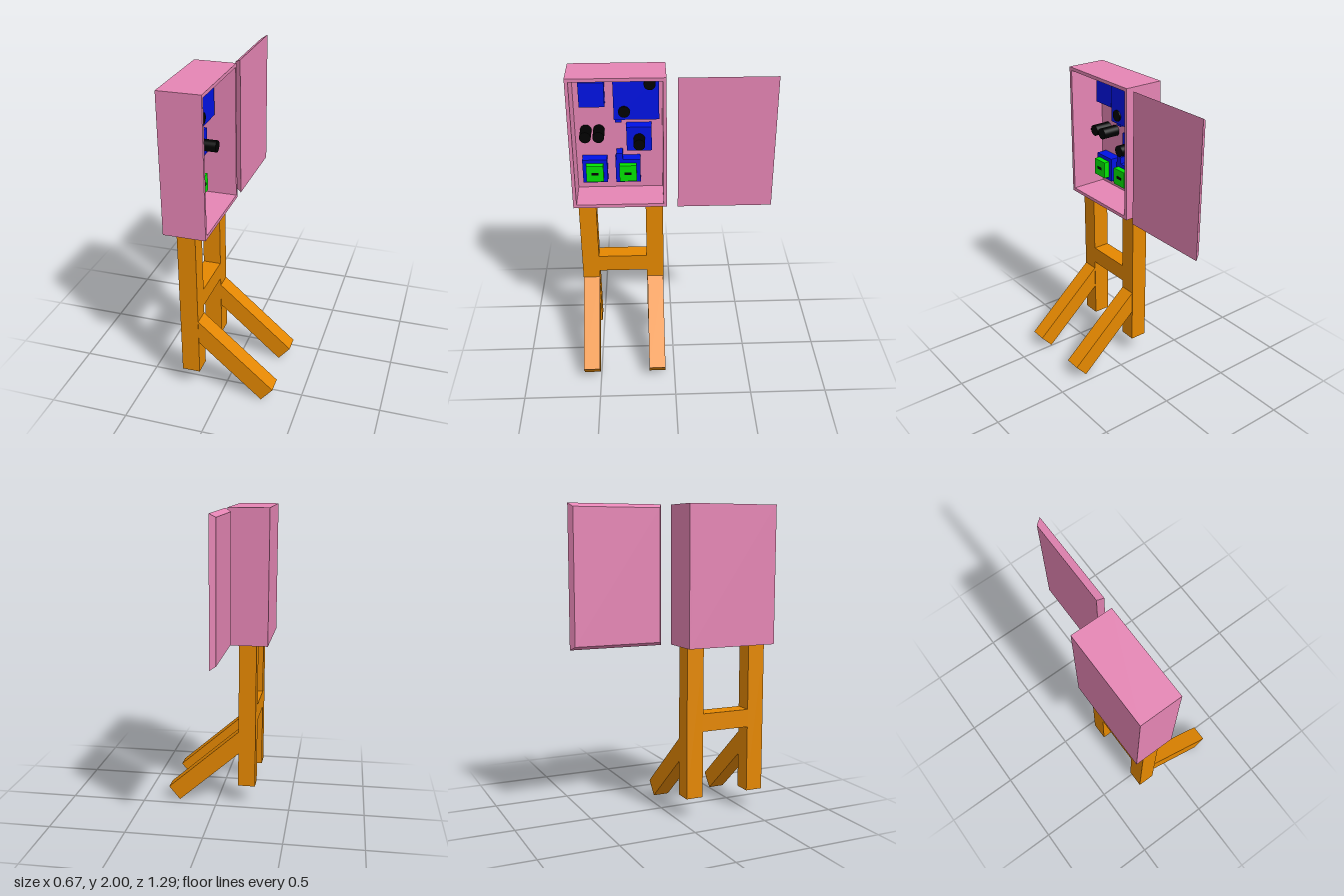
import * as THREE from 'three';

const mat = (color) => new THREE.MeshStandardMaterial({ color, flatShading: true });
const pink = mat(0xe585b4), wood = mat(0xe58800), blue = mat(0x0012e5), green = mat(0x00e500);
const black = new THREE.MeshStandardMaterial({ color: 0x000000 });

export function createModel() {
  const model = new THREE.Group();

  const add = (name, geometry, material) => {
    const mesh = new THREE.Mesh(geometry, material);
    mesh.name = name;
    model.add(mesh);
    return mesh;
  };
  // Box given by its limits on each axis
  const box = (name, material, [x0, x1], [y0, y1], [z0, z1]) => {
    const mesh = add(name, new THREE.BoxGeometry(x1 - x0, y1 - y0, z1 - z0), material);
    mesh.position.set((x0 + x1) / 2, (y0 + y1) / 2, (z0 + z1) / 2);
    return mesh;
  };
  // Knob pointing to +x
  const knob = (name, x0, x1, y, z) => {
    const mesh = add(name, new THREE.CylinderGeometry(0.037, 0.037, x1 - x0, 32), black);
    mesh.rotation.z = -Math.PI / 2;
    mesh.position.set((x0 + x1) / 2, y, z);
  };

  // Cabinet: frame extruded along x, plus back panel
  const rect = (path, z0, z1, y0, y1) =>
    path.moveTo(-z1, y0).lineTo(-z0, y0).lineTo(-z0, y1).lineTo(-z1, y1).closePath();
  const frame = rect(new THREE.Shape(), 0.035, 0.645, 1.115, 2);
  frame.holes.push(rect(new THREE.Path(), 0.057, 0.623, 1.138, 1.978));
  const shell = add('cabinetFrame', new THREE.ExtrudeGeometry(frame, { depth: 0.267, bevelEnabled: false }), pink);
  shell.rotation.y = Math.PI / 2;
  shell.position.x = -0.338;
  const back = -0.315;
  box('cabinetBack', pink, [-0.338, back], [1.13, 1.99], [0.05, 0.63]);

  // Open door with edges sloping in towards its outer face
  const door = box('door', pink, [-0.106, -0.069], [1.115, 2], [-0.645, -0.034]);
  const p = door.geometry.attributes.position;
  for (let i = 0; i < p.count; i++) {
    if (p.getX(i) < 0) {
      p.setY(i, p.getY(i) - Math.sign(p.getY(i)) * 0.022);
      p.setZ(i, p.getZ(i) - Math.sign(p.getZ(i)) * 0.022);
    }
  }
  door.geometry.computeVertexNormals();

  // Posts and slanted braces
  const braceShape = new THREE.Shape([
    [-0.15, 0.36], [0.26, 0], [0.335, 0.09], [-0.15, 0.515],
  ].map(([x, y]) => new THREE.Vector2(x, y)));
  for (const [side, z] of [['back', 0.06], ['front', 0.503]]) {
    box(side + 'Post', wood, [-0.262, -0.147], [0.13, 1.116], [z, z + 0.115]);
    const brace = add(side + 'Brace', new THREE.ExtrudeGeometry(braceShape, { depth: 0.109, bevelEnabled: false }), wood);
    brace.position.z = z + 0.003;
  }
  box('crossbar', wood, [-0.262, -0.148], [0.565, 0.682], [0.17, 0.51]);

  // Blue units and their connectors: name, front x, y range, z range
  for (const [name, x, y, z] of [
    ['smallUnit', -0.24, [1.746, 1.908], [0.421, 0.582]],
    ['largeUnit', -0.2, [1.676, 1.957], [0.078, 0.364]],
    ['knobUnit', -0.235, [1.443, 1.608], [0.127, 0.289]],
    ['upperConnector', -0.24, [1.64, 1.69], [0.318, 0.359]],
    ['lowerConnector', -0.24, [1.37, 1.422], [0.318, 0.359]],
  ]) box(name, blue, [back, x], y, z);

  // Sockets: blue base, green face, black slot
  for (const z of [0.285, 0.502]) {
    box('socketBase', blue, [back, -0.24], [1.212, 1.376], [z - 0.081, z + 0.081]);
    box('socketFace', green, [-0.24, -0.2], [1.237, 1.351], [z - 0.056, z + 0.056]);
    box('socketSlot', black, [-0.21, -0.197], [1.286, 1.303], [z - 0.023, z + 0.023]);
  }

  // Knobs
  knob('largeUnitKnob', -0.205, -0.19, 1.912, 0.135);
  knob('largeUnitKnob', -0.205, -0.19, 1.731, 0.298);
  knob('knobUnitKnob', -0.24, -0.14, 1.526, 0.207);
  knob('panelKnob', back, -0.195, 1.557, 0.467);
  knob('panelKnob', back, -0.195, 1.557, 0.552);

  return model;
}
